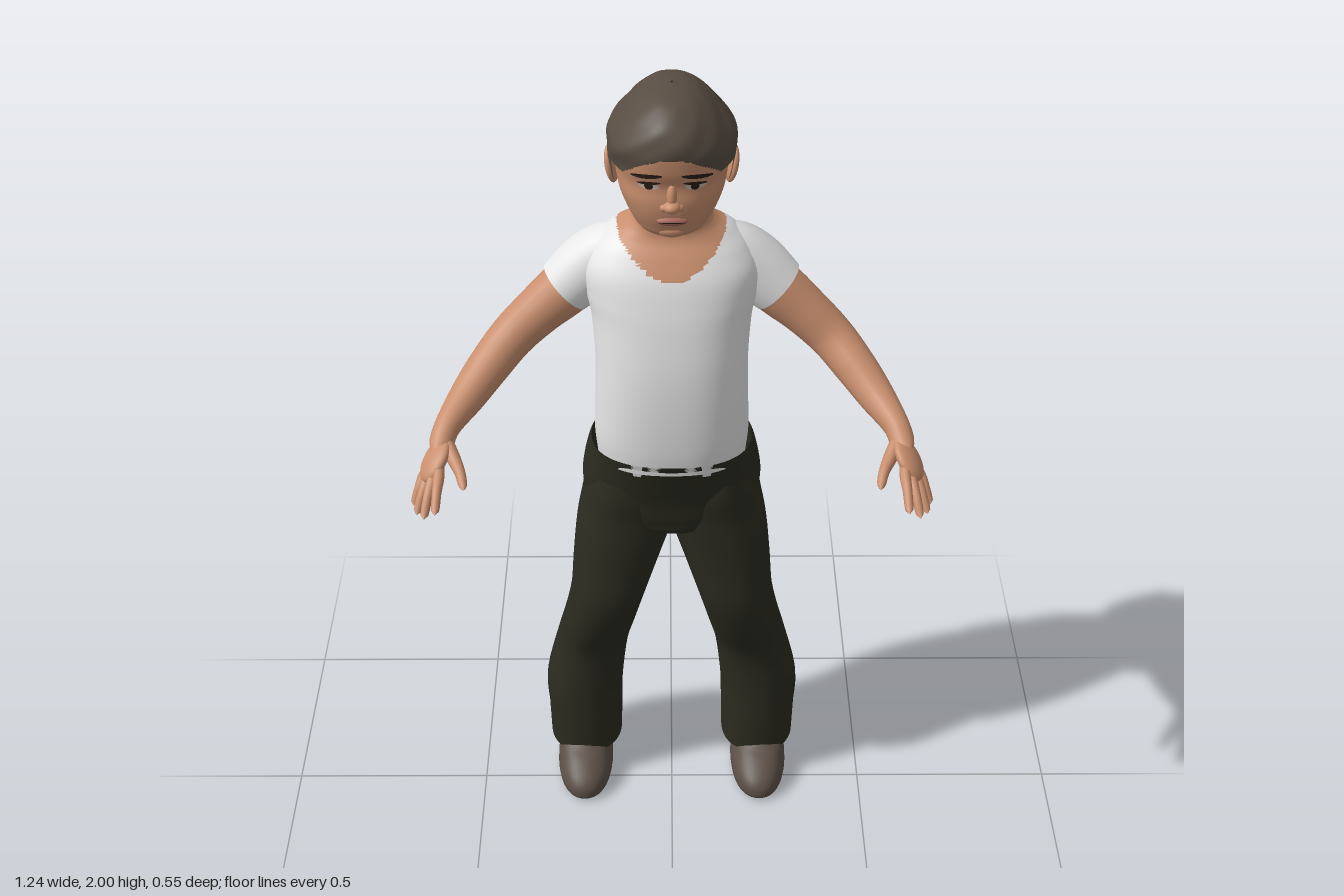
import * as THREE from 'three';

const V = (x, y, z) => new THREE.Vector3(x, y, z);
const paint = (name, color, side = THREE.DoubleSide) => {
  const m = new THREE.MeshStandardMaterial({ color, side });
  m.name = name;
  return m;
};

// Cross-sections are [y, xMin, xMax, zFront, zBack].
const even = rows => rows.map(([y, r, f, b]) => [y, -r, r, f, b]);

const HEAD = even([
  [1.65, 0.005, -0.05, -0.06], [1.652, 0.05, 0.01, -0.13], [1.67, 0.078, 0.05, -0.15],
  [1.695, 0.094, 0.064, -0.16], [1.725, 0.108, 0.074, -0.17], [1.76, 0.121, 0.078, -0.18],
  [1.8, 0.129, 0.075, -0.2], [1.84, 0.134, 0.085, -0.21], [1.9, 0.128, 0.085, -0.2],
  [1.95, 0.085, 0.05, -0.16], [1.975, 0.01, -0.04, -0.07]]);

// Smooth skin through stacked superellipse sections; pick(x, y, z) gives the
// material index of a face, or -1 to leave it open.
function loft(name, sections, mats, { n = 2.3, cols = 48, rows = 40, pick = () => 0, bump } = {}) {
  const splines = [0, 1, 2, 3, 4].map(k =>
    new THREE.CatmullRomCurve3(sections.map(s => V(s[k], 0, 0)), false, 'catmullrom'));
  const pos = [], buckets = mats.map(() => []);
  const pw = v => Math.sign(v) * Math.abs(v) ** (2 / n);
  for (let i = 0; i <= rows; i++) {
    const [y, x0, x1, zf, zb] = splines.map(c => c.getPoint(i / rows).x);
    for (let j = 0; j < cols; j++) {
      const a = j / cols * Math.PI * 2, k = 1 + (bump ? bump(a, y) : 0);
      pos.push((x0 + x1) / 2 + (x1 - x0) / 2 * pw(Math.cos(a)) * k, Math.max(0, y),
        (zf + zb) / 2 + (zf - zb) / 2 * pw(Math.sin(a)) * k);
    }
  }
  const face = (...t) => {
    const mid = k => (pos[t[0] * 3 + k] + pos[t[1] * 3 + k] + pos[t[2] * 3 + k]) / 3;
    const m = pick(mid(0), mid(1), mid(2));
    if (m >= 0) buckets[m].push(...t);
  };
  for (let i = 0; i < rows; i++) for (let j = 0; j < cols; j++) {
    const a = i * cols + j, b = i * cols + (j + 1) % cols;
    face(a, a + cols, b);
    face(b, a + cols, b + cols);
  }
  const g = new THREE.BufferGeometry();
  g.setAttribute('position', new THREE.Float32BufferAttribute(pos, 3));
  g.setIndex(buckets.flat());
  let start = 0;
  buckets.forEach((b, m) => { g.addGroup(start, b.length, m); start += b.length; });
  g.computeVertexNormals();
  return named(name, g, mats.length > 1 ? mats : mats[0]);
}

function named(name, geometry, material) {
  const m = new THREE.Mesh(geometry, material);
  m.name = name;
  return m;
}

// Tapered tube through points [x, y, z, radius], mirrored by s.
function limb(name, pts, mat, s, segs = 28, sides = 20) {
  const path = new THREE.CatmullRomCurve3(pts.map(p => V(p[0] * s, p[1], p[2])), false, 'catmullrom');
  const radii = new THREE.CatmullRomCurve3(pts.map(p => V(p[3], 0, 0)), false, 'catmullrom');
  const g = new THREE.TubeGeometry(path, segs, 1, sides), p = g.attributes.position, nrm = g.attributes.normal;
  for (let i = 0; i < p.count; i++) {
    const t = path.getUtoTmapping(Math.floor(i / (sides + 1)) / segs);
    const c = path.getPoint(t).addScaledVector(V(nrm.getX(i), nrm.getY(i), nrm.getZ(i)), Math.max(0.0005, radii.getPoint(t).x));
    p.setXYZ(i, c.x, c.y, c.z);
  }
  return named(name, g, mat);
}

function blob(name, mat, c, r, rot = [0, 0, 0]) {
  const m = named(name, new THREE.SphereGeometry(1, 24, 16), mat);
  m.position.set(...c);
  m.scale.set(...r);
  m.rotation.set(...rot);
  return m;
}

// Depth of the face at (x, y), used to lay thin patches on it.
function faceZ(x, y) {
  const i = Math.max(1, HEAD.findIndex(s => s[0] > y)), a = HEAD[i - 1], b = HEAD[i];
  const [, , rx, f, k] = a.map((v, j) => THREE.MathUtils.lerp(v, b[j], (y - a[0]) / (b[0] - a[0])));
  return (f + k) / 2 + (f - k) / 2 * (1 - Math.min(1, Math.abs(x) / rx) ** 2.3) ** (1 / 2.3);
}
function patch(name, mat, x, y, w, h, lift, tilt = 0) {
  const g = new THREE.CircleGeometry(1, 20), p = g.attributes.position;
  for (let i = 0; i < p.count; i++) {
    const px = x + p.getX(i) * w, py = y + p.getY(i) * h + p.getX(i) * w * tilt;
    p.setXYZ(i, px, py, faceZ(px, py) + lift);
  }
  g.computeVertexNormals();
  return named(name, g, mat);
}

export function createModel() {
  const skin = paint('skin', 0xc98f6e), shirt = paint('shirt white', 0xe6e6e6);
  const cloth = paint('trouser cloth', 0x2b2b20), hair = paint('hair brown', 0x584d43);
  const leather = paint('shoe leather', 0x5c5047), dark = paint('eye dark', 0x2a1e18);
  const white = paint('eye white', 0xc9b8a8), lip = paint('lip', 0xa5685a);
  const model = new THREE.Group();
  model.name = 'standingBoy';
  const add = (...m) => model.add(...m);

  // Torso and neck, split at the scooped neckline
  add(loft('torso', even([
    [1.03, 0.182, 0.08, -0.205], [1.1, 0.188, 0.085, -0.205], [1.2, 0.185, 0.083, -0.205],
    [1.3, 0.184, 0.073, -0.215], [1.4, 0.192, 0.053, -0.238], [1.46, 0.205, 0.037, -0.246],
    [1.52, 0.21, 0.016, -0.245], [1.57, 0.185, -0.012, -0.238], [1.605, 0.147, -0.035, -0.222],
    [1.63, 0.108, -0.04, -0.2], [1.66, 0.09, -0.035, -0.187], [1.75, 0.085, -0.03, -0.18]]),
  [shirt, skin], { n: 2.4, cols: 80, rows: 90,
    pick: (x, y, z) => y > (z > -0.12 ? 1.525 + 5.5 * x * x : 1.59 + 1.5 * x * x) ? 1 : 0 }));

  // Trouser seat, with shirt tucks showing at the front waist
  add(loft('trouserSeat', even([
    [0.79, 0.01, -0.06, -0.1], [0.82, 0.11, 0.025, -0.18], [0.86, 0.205, 0.042, -0.235],
    [0.92, 0.222, 0.05, -0.265], [0.97, 0.218, 0.062, -0.276], [1.03, 0.205, 0.078, -0.265],
    [1.07, 0.193, 0.09, -0.222]]),
  [cloth, shirt], { cols: 120, rows: 50, pick: (x, y, z) => {
    if (z < -0.15 || y < 1.055) {
      const tuck = [0.045, 0.085].some(c => Math.abs(Math.abs(x) - c) < 0.012);
      return z > 0 && tuck && y > (Math.abs(x) > 0.065 ? 1.02 : 1.035) ? 1 : 0;
    }
    return -1;
  } }));

  // Head and hair
  add(loft('head', HEAD, [skin], { cols: 64, rows: 60 }));
  const hairline = (x, z) => z > -0.01 ? 1.832 + 0.055 * (1 - Math.min(1, Math.abs(x) / 0.11) ** 2)
    : z > -0.052 ? 1.78 : z > -0.12 ? 1.832 : 1.725;
  add(loft('hair', even([
    [1.7, 0.09, 0.03, -0.175], [1.73, 0.117, 0.08, -0.205], [1.78, 0.138, 0.085, -0.235],
    [1.84, 0.147, 0.1, -0.243], [1.89, 0.145, 0.114, -0.241], [1.94, 0.108, 0.1, -0.215],
    [1.975, 0.072, 0.062, -0.175], [1.992, 0.04, 0.02, -0.13], [2, 0.003, -0.05, -0.06]]),
  [hair], { cols: 120, rows: 90, n: 2.2,
    pick: (x, y, z) => y > hairline(x, z) ? 0 : -1,
    bump: (a, y) => 0.012 * Math.sin(a * 7 + y * 30) * Math.sin(y * 60 + a * 2) }));

  // Face
  add(blob('noseTip', skin, [0, 1.757, 0.08], [0.02, 0.014, 0.021]),
    blob('noseBridge', skin, [0, 1.783, 0.073], [0.012, 0.032, 0.014], [-0.2, 0, 0]),
    blob('lips', lip, [0, 1.717, 0.07], [0.036, 0.011, 0.012]),
    blob('chin', skin, [0, 1.683, 0.045], [0.035, 0.018, 0.018]),
    patch('mouthLine', dark, 0, 1.718, 0.032, 0.0018, 0.012));

  for (const s of [1, -1]) {
    const side = s > 0 ? 'left' : 'right';
    add(blob(side + 'Nostril', skin, [s * 0.017, 1.753, 0.073], [0.011, 0.01, 0.013]),
      patch(side + 'EyeWhite', white, s * 0.052, 1.806, 0.024, 0.009, 0.003),
      patch(side + 'Iris', dark, s * 0.052, 1.806, 0.01, 0.009, 0.005),
      patch(side + 'Lashes', dark, s * 0.052, 1.815, 0.027, 0.004, 0.006, -s * 0.1),
      patch(side + 'Brow', dark, s * 0.057, 1.832, 0.036, 0.006, 0.005, -s * 0.12),
      blob(side + 'Ear', skin, [s * 0.138, 1.785, -0.088], [0.013, 0.046, 0.029], [-0.15, s * 0.35, -s * 0.15]));

    // Sleeve and arm
    add(limb(side + 'Sleeve', [[0.1, 1.545, -0.14, 0.06], [0.15, 1.525, -0.14, 0.077], [0.2, 1.488, -0.138, 0.08],
      [0.255, 1.437, -0.133, 0.072]], shirt, s, 20, 32));
    add(limb(side + 'Arm', [[0.17, 1.505, -0.14, 0.06], [0.25, 1.436, -0.133, 0.067], [0.32, 1.375, -0.124, 0.06],
      [0.385, 1.315, -0.105, 0.055], [0.44, 1.262, -0.055, 0.051], [0.49, 1.212, 0.003, 0.044],
      [0.535, 1.17, 0.07, 0.032], [0.55, 1.14, 0.11, 0.028], [0.56, 1.12, 0.14, 0.005]], skin, s, 40));

    // Hand: flattened palm, four fingers and a thumb
    const along = V(s * 0.04, -0.065, 0.09).normalize();
    const across = V(s * 0.05, -0.03, -0.07);
    across.addScaledVector(along, -across.dot(along)).normalize();
    const palm = blob(side + 'Palm', skin, [s * 0.562, 1.118, 0.138], [0.06, 0.02, 0.043]);
    palm.quaternion.setFromRotationMatrix(
      new THREE.Matrix4().makeBasis(along, across.clone().cross(along), across));
    add(palm);
    const fingers = [
      [0.55, 1.107, 0.185, 0.556, 1.052, 0.272], [0.565, 1.096, 0.178, 0.586, 1.024, 0.25],
      [0.578, 1.087, 0.162, 0.606, 1.014, 0.216], [0.588, 1.082, 0.143, 0.616, 1.014, 0.178]];
    for (const [ax, ay, az, bx, by, bz] of fingers) {
      const at = (t, r, up = 0) => [ax + (bx - ax) * t, ay + (by - ay) * t + up, az + (bz - az) * t, r];
      add(limb(side + 'Finger', [[0.555, 1.13, 0.125, 0.01], at(0, 0.0135), at(0.5, 0.0115, 0.006),
        at(0.9, 0.0095), at(1, 0.001)], skin, s, 16, 10));
    }
    add(limb(side + 'Thumb', [[0.54, 1.15, 0.1, 0.018], [0.518, 1.128, 0.145, 0.017], [0.5, 1.112, 0.185, 0.013],
      [0.492, 1.096, 0.215, 0.01], [0.49, 1.09, 0.226, 0.001]], skin, s, 16, 10));

    // Trouser leg and shoe
    const mirror = rows => rows.map(([y, a, b, f, k]) => s > 0 ? [y, a, b, f, k] : [y, -b, -a, f, k]);
    add(loft(side + 'TrouserLeg', mirror([
      [0.085, 0.135, 0.325, 0, -0.245], [0.18, 0.133, 0.328, 0, -0.246], [0.27, 0.13, 0.331, -0.003, -0.246],
      [0.4, 0.115, 0.3, -0.003, -0.235], [0.5, 0.093, 0.277, 0.032, -0.205], [0.6, 0.067, 0.258, 0.055, -0.184],
      [0.7, 0.034, 0.25, 0.05, -0.19], [0.8, 0.0, 0.24, 0.045, -0.212], [0.86, -0.01, 0.228, 0.042, -0.237],
      [0.92, 0, 0.215, 0.045, -0.255], [0.97, 0.02, 0.2, 0.04, -0.24]]), [cloth]));
    add(loft(side + 'Shoe', mirror([
      [0, 0.23, 0.235, -0.05, -0.055], [0.002, 0.172, 0.292, 0.085, -0.185], [0.025, 0.16, 0.304, 0.105, -0.198],
      [0.055, 0.16, 0.304, 0.09, -0.2], [0.085, 0.168, 0.3, 0.045, -0.2], [0.11, 0.175, 0.295, -0.005, -0.195],
      [0.16, 0.185, 0.285, -0.04, -0.18]]), [leather], { n: 2.2, rows: 30 }));
  }
  return model;
}
